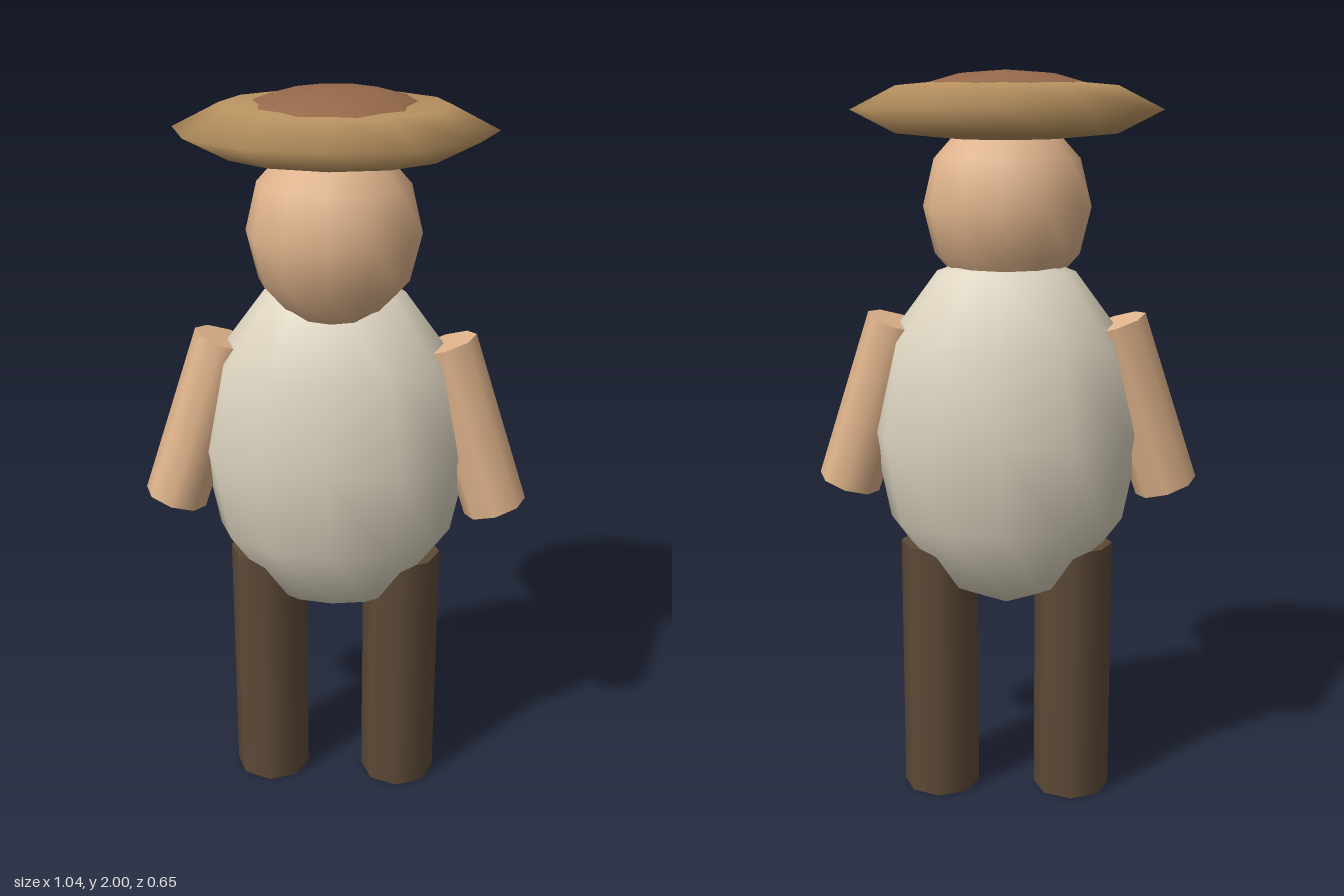
import * as THREE from 'three';

const mat = (name, color) => {
  const m = new THREE.MeshStandardMaterial({ color });
  m.name = name;
  return m;
};

export function createModel() {
  const group = new THREE.Group();
  group.name = 'figure';

  const skin = mat('skin', 0xe0b48c);
  const shirt = mat('shirt cream', 0xdcd3bf);
  const straw = mat('straw', 0xb89260);
  const crownBrown = mat('crown brown', 0x96694a);
  const trousers = mat('trouser brown', 0x5c4936);

  // Low-sided smooth ellipsoid
  function ellipsoid(name, material, radii, centre, sides, rings) {
    const geometry = new THREE.SphereGeometry(1, sides, rings);
    geometry.scale(...radii);
    const mesh = new THREE.Mesh(geometry, material);
    mesh.name = name;
    mesh.position.set(...centre);
    group.add(mesh);
  }

  // Eight-sided limb between two points
  function limb(name, material, radius, top, bottom) {
    const a = new THREE.Vector3(...top);
    const b = new THREE.Vector3(...bottom);
    const axis = a.clone().sub(b);
    const mesh = new THREE.Mesh(new THREE.CylinderGeometry(radius, radius, axis.length(), 8), material);
    mesh.name = name;
    mesh.position.copy(a).add(b).multiplyScalar(0.5);
    mesh.quaternion.setFromUnitVectors(new THREE.Vector3(0, 1, 0), axis.normalize());
    group.add(mesh);
  }

  // Torso and head
  ellipsoid('torso', shirt, [0.37, 0.5, 0.242], [0, 1.05, 0], 12, 6);
  ellipsoid('head', skin, [0.225, 0.25, 0.202], [0, 1.65, 0.04], 12, 6);

  // Hat: wide flat brim with a low crown showing through it
  ellipsoid('hatBrim', straw, [0.41, 0.086, 0.326], [0, 1.9, 0], 12, 4);
  ellipsoid('hatCrown', crownBrown, [0.25, 0.07, 0.25], [0, 1.93, 0], 10, 6);

  // Arms and legs, mirrored
  for (const [side, s] of [['left', 1], ['right', -1]]) {
    limb(side + 'Arm', skin, 0.086, [s * 0.291, 1.346, 0], [s * 0.44, 0.89, 0.028]);
    limb(side + 'Leg', trousers, 0.107, [s * 0.187, 0.73, 0], [s * 0.187, 0, 0]);
  }

  return group;
}
